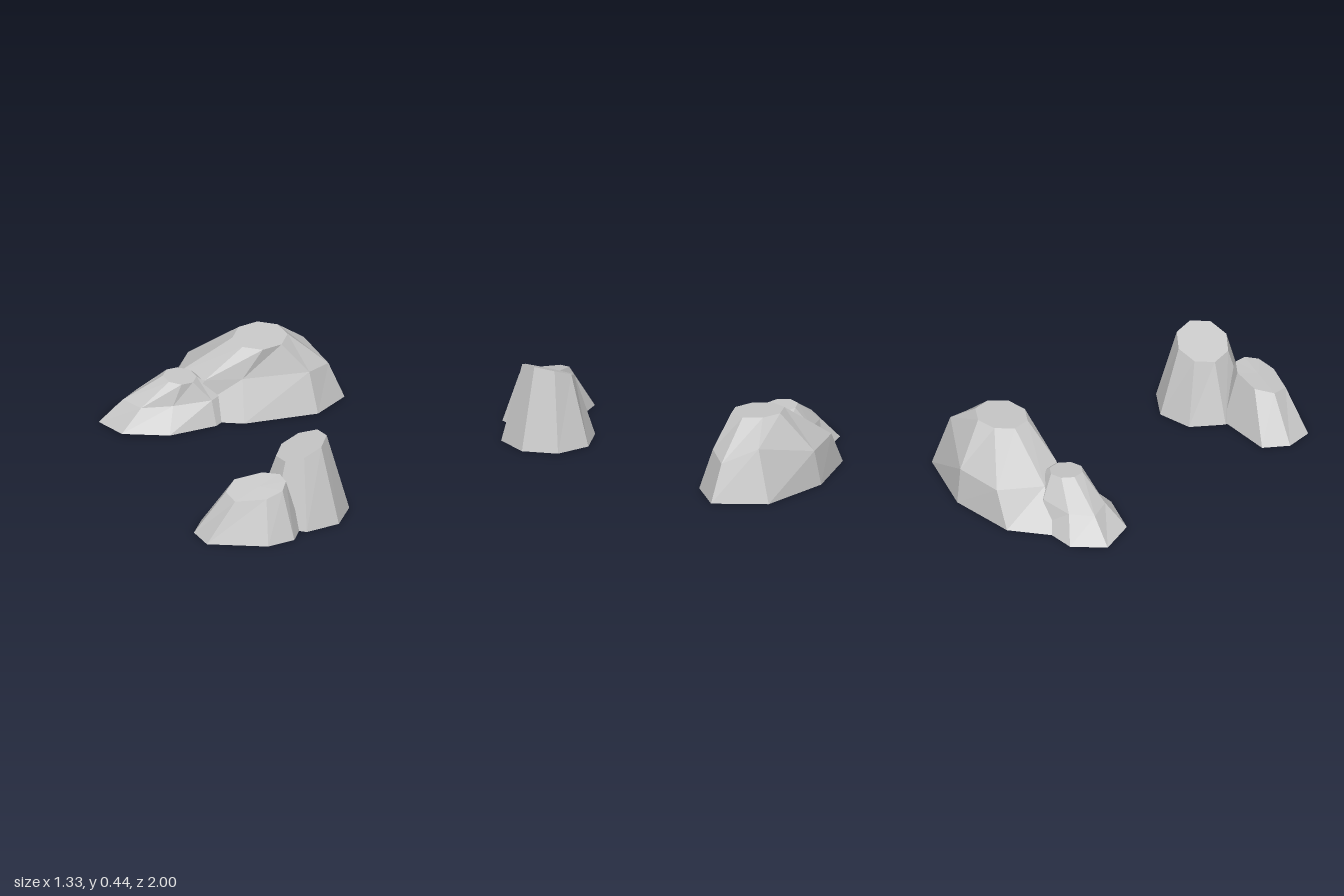
import * as THREE from 'three';

const stone = new THREE.MeshStandardMaterial({ color: 0xc8c8c8, flatShading: true, side: THREE.DoubleSide });
stone.name = 'grey stone';

// Eight-sided rock: lofts stacked rings of [x, y, z] corners and closes the top, leaving the base open
function rock(name, rings) {
  const pos = [];
  const tri = (a, b, c) => pos.push(...a, ...b, ...c);
  const n = rings[0].length;
  for (let r = 0; r < rings.length - 1; r++) {
    for (let i = 0; i < n; i++) {
      const j = (i + 1) % n;
      const low = rings[r], high = rings[r + 1];
      tri(low[i], high[i], low[j]);
      tri(low[j], high[i], high[j]);
    }
  }
  const top = rings[rings.length - 1];
  const centre = [0, 1, 2].map((k) => top.reduce((s, p) => s + p[k], 0) / n);
  for (let i = 0; i < n; i++) tri(centre, top[(i + 1) % n], top[i]);
  const geo = new THREE.BufferGeometry();
  geo.setAttribute('position', new THREE.Float32BufferAttribute(pos, 3));
  geo.computeVertexNormals();
  const mesh = new THREE.Mesh(geo, stone);
  mesh.name = name;
  return mesh;
}

// Regular octagon on a sloping plane, running from +x towards +z
function octagon(x, y, z, rx, rz, slopeX = 0, slopeZ = 0) {
  return Array.from({ length: 8 }, (_, i) => {
    const a = (i * Math.PI) / 4;
    const dx = Math.cos(a) * rx, dz = Math.sin(a) * rz;
    return [x + dx, y + dx * slopeX + dz * slopeZ, z + dz];
  });
}

export function createModel() {
  const group = new THREE.Group();
  group.name = 'rocks';

  // Front pair
  group.add(rock('tallFrontRock', [
    octagon(0.3, 0, 0.6, 0.253, 0.255),
    octagon(0.298, 0.385, 0.6, 0.135, 0.145, 0.4),
  ]));
  group.add(rock('lowFrontRock', [
    [[0.275, 0, 0.8], [0.225, 0, 0.94], [0.08, 0, 1], [-0.24, 0, 0.94],
      [-0.295, 0, 0.8], [-0.24, 0, 0.66], [0.08, 0, 0.605], [0.225, 0, 0.66]],
    [[0.195, 0.28, 0.8], [0.17, 0.26, 0.87], [0.08, 0.235, 0.91], [-0.085, 0.22, 0.89],
      [-0.125, 0.235, 0.8], [-0.07, 0.26, 0.71], [0.08, 0.283, 0.69], [0.17, 0.288, 0.73]],
  ]));

  // Back pair
  group.add(rock('largeBackRock', [
    [[0.66, 0, -0.67], [0.5, 0, -0.49], [0.1, 0, -0.415], [-0.25, 0, -0.49],
      [-0.43, 0, -0.7], [-0.26, 0, -0.9], [0.1, 0, -1], [0.5, 0, -0.93]],
    [[0.575, 0.2, -0.68], [0.46, 0.22, -0.55], [0.1, 0.22, -0.505], [-0.1, 0.22, -0.51],
      [-0.24, 0.19, -0.66], [-0.15, 0.19, -0.9], [0.12, 0.19, -0.97], [0.46, 0.28, -0.84]],
    octagon(0.21, 0.388, -0.67, 0.147, 0.142, 0.02, -0.08),
  ]));
  group.add(rock('smallBackRock', [
    [[0.05, 0, -0.52], [-0.05, 0, -0.405], [-0.31, 0.013, -0.295], [-0.56, 0.013, -0.34],
      [-0.665, 0, -0.515], [-0.56, 0, -0.685], [-0.3, 0, -0.74], [-0.05, 0, -0.64]],
    [[0, 0.13, -0.53], [-0.07, 0.13, -0.45], [-0.28, 0.128, -0.41], [-0.45, 0.125, -0.41],
      [-0.535, 0.125, -0.52], [-0.45, 0.125, -0.63], [-0.28, 0.14, -0.69], [-0.06, 0.14, -0.64]],
    octagon(-0.233, 0.246, -0.525, 0.09, 0.092, -0.08, -0.05),
  ]));
  return group;
}
